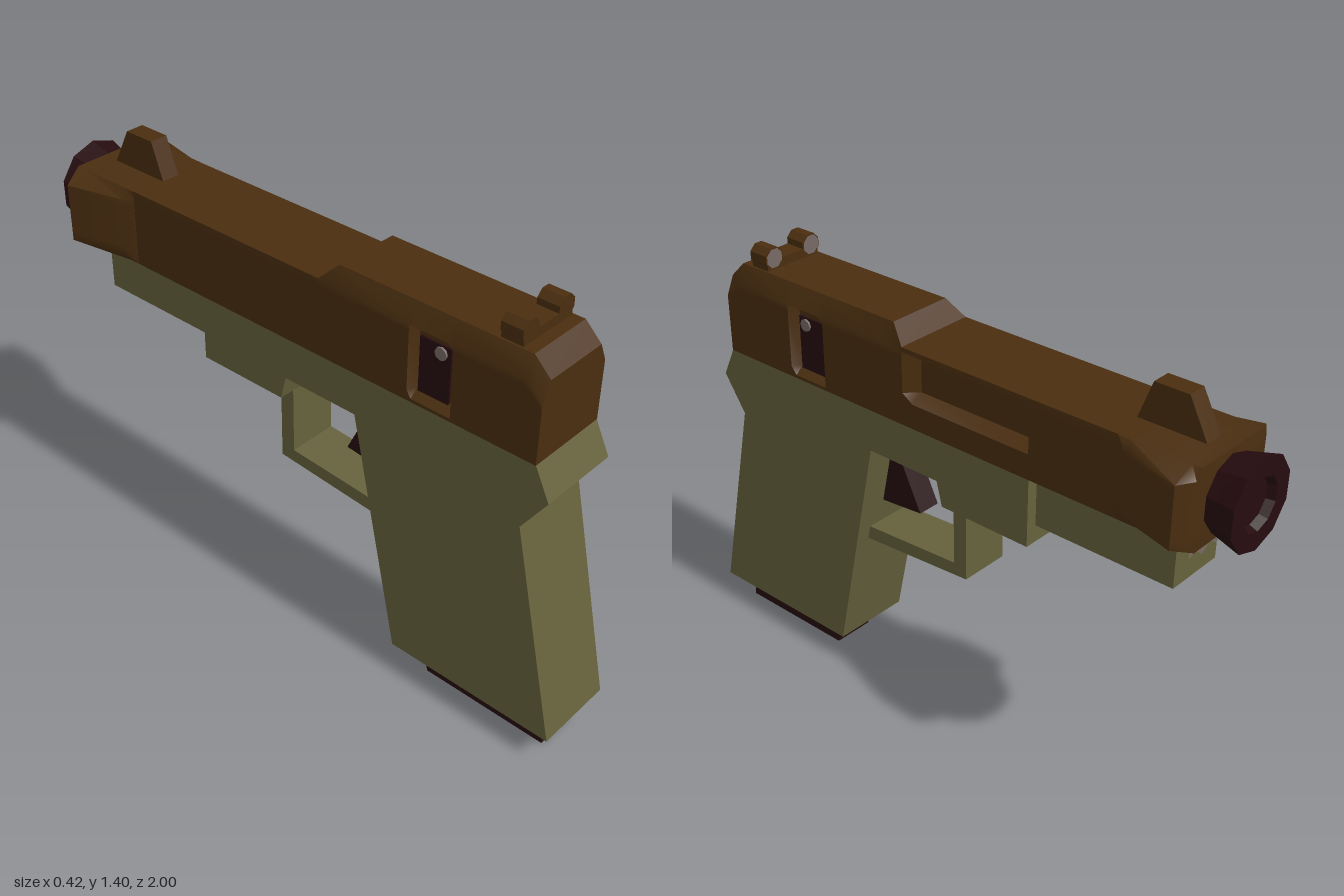
import * as THREE from 'three';
import { toCreasedNormals } from 'three/addons/utils/BufferGeometryUtils.js';

const material = (name, color, side = THREE.FrontSide) => {
  const m = new THREE.MeshStandardMaterial({ color, side });
  m.name = name;
  return m;
};

// Side outline of [z, y] points, extruded across x and centred on x = 0
function sideExtrude(points, halfWidth) {
  const shape = new THREE.Shape(points.map(([z, y]) => new THREE.Vector2(z, y)));
  const g = new THREE.ExtrudeGeometry(shape, { depth: 2 * halfWidth, bevelEnabled: false });
  g.rotateY(-Math.PI / 2).translate(halfWidth, 0, 0);
  return toCreasedNormals(g, 0.75);
}

// Half of a slide cross-section, from the bottom edge to the top edge
function halfSection(s, inset) {
  return [
    [0.138, 1.03], [s.w, s.lo], [s.w - inset, s.lo + 0.025],
    [s.w - inset, s.hi - 0.02], [s.w, s.hi], [s.wt, s.ht],
  ];
}

// Skin over cross-sections ordered from +z to -z, with closed ends
function loftSlide(sections) {
  const rings = sections.map((s) => {
    const right = halfSection(s, s.insetR || 0);
    const left = halfSection(s, s.insetL || 0).reverse().map(([x, y]) => [-x, y]);
    return [...right, ...left].map(([x, y]) => [x, y, s.z]);
  });
  const out = [];
  const n = rings[0].length;
  const first = rings[0], last = rings[rings.length - 1];
  for (let j = 0; j < n; j++) {
    const k = (j + 1) % n;
    for (let i = 0; i < rings.length - 1; i++) {
      const a = rings[i][j], b = rings[i][k], c = rings[i + 1][j], d = rings[i + 1][k];
      out.push(...a, ...c, ...b, ...b, ...c, ...d);
    }
    out.push(0, 1.14, first[0][2], ...first[j], ...first[k]);
    out.push(0, 1.14, last[0][2], ...last[k], ...last[j]);
  }
  const g = new THREE.BufferGeometry();
  g.setAttribute('position', new THREE.Float32BufferAttribute(out, 3));
  return toCreasedNormals(g, 0.7);
}

export function createModel() {
  const model = new THREE.Group();
  model.name = 'pistol';
  const bronze = material('bronze brown', 0x4a2e10);
  const olive = material('olive', 0x66623d);
  const dark = material('dark maroon', 0x260c0f);
  const grey = material('warm grey', 0x776a66, THREE.DoubleSide);

  const add = (name, geometry, mat, x = 0, y = 0, z = 0) => {
    const mesh = new THREE.Mesh(geometry, mat);
    mesh.name = name;
    mesh.position.set(x, y, z);
    model.add(mesh);
    return mesh;
  };

  // Slide: raised rear with side recesses, then the ejection cut on the +x side
  const rear = { w: 0.138, lo: 1.04, hi: 1.27, wt: 0.11, ht: 1.333 };
  const fore = { w: 0.138, lo: 1.11, hi: 1.265, wt: 0.137, ht: 1.28 };
  const pocket = { insetR: 0.03, insetL: 0.03 };
  add('slide', loftSlide([
    { ...rear, z: 0.865, hi: 1.22, ht: 1.28 },
    { ...rear, z: 0.81 },
    { ...rear, z: 0.585 },
    { ...rear, ...pocket, z: 0.565 },
    { ...rear, ...pocket, z: 0.45 },
    { ...rear, z: 0.435 },
    { ...rear, z: 0.165 },
    { ...fore, z: 0.11 },
    { ...fore, z: 0.07, insetR: 0.04 },
    { ...fore, z: -0.33, insetR: 0.04 },
    { ...fore, z: -0.36 },
    { ...fore, z: -0.65 },
  ]), bronze);

  // Flared block at the muzzle end
  const flare = { lo: 1.06, hi: 1.25, wt: 0.138, ht: 1.28 };
  add('muzzleBlock', loftSlide([
    { ...flare, z: -0.65, w: 0.139 },
    { ...flare, z: -0.685, w: 0.158 },
    { ...flare, z: -0.875, w: 0.21 },
    { ...flare, z: -0.905, w: 0.16 },
  ]), bronze);

  // Muzzle cone with a stepped bore
  const cone = new THREE.LatheGeometry([
    [0.105, 0.85], [0.112, 0.9], [0.138, 1.0], [0.08, 1.0], [0.07, 0.975], [0, 0.975],
  ].map(([r, y]) => new THREE.Vector2(r, y)), 10);
  cone.rotateX(-Math.PI / 2);
  add('muzzle', toCreasedNormals(cone, 0.5), dark, 0, 1.15, 0);

  // Frame and grip in one outline
  add('frameAndGrip', sideExtrude([
    [0.865, 1.03], [0.915, 0.93], [0.835, 0.81], [1.0, 0.1], [0.42, 0.1],
    [0.25, 0.89], [-0.02, 0.89], [-0.04, 0.81], [-0.363, 0.81], [-0.363, 1.03],
  ], 0.137), olive);
  add('accessoryRail', new THREE.BoxGeometry(0.2, 0.165, 0.48), olive, 0, 0.9475, -0.59);
  add('triggerGuard', sideExtrude([
    [-0.04, 0.82], [-0.04, 0.585], [0.33, 0.562], [0.34, 0.514], [-0.09, 0.545], [-0.09, 0.82],
  ], 0.085), olive);
  add('trigger', sideExtrude([[0.25, 0.89], [0.32, 0.648], [0.14, 0.665]], 0.04), dark);
  add('magazineBase', sideExtrude([
    [0.925, 0.1], [0.947, 0], [0.512, 0], [0.49, 0.1],
  ], 0.073), dark);

  // Front sight
  add('frontSight', sideExtrude([
    [-0.63, 1.275], [-0.675, 1.398], [-0.785, 1.398], [-0.85, 1.275],
  ], 0.031), bronze);

  // Rear sight: low bar with two rounded posts and pale forward faces
  add('rearSightBar', new THREE.BoxGeometry(0.15, 0.035, 0.07), bronze, 0, 1.345, 0.737);
  for (const side of [1, -1]) {
    const post = new THREE.CylinderGeometry(0.036, 0.036, 0.07, 8).rotateY(Math.PI / 8).rotateX(Math.PI / 2);
    add('rearSightPost', toCreasedNormals(post, 0.5), bronze, side * 0.076, 1.369, 0.737);
    const face = new THREE.CircleGeometry(0.032, 8).rotateZ(Math.PI / 8).rotateY(Math.PI);
    add('rearSightFace', face, grey, side * 0.076, 1.369, 0.7);
    add('rearSightFoot', new THREE.BoxGeometry(0.05, 0.04, 0.07), bronze, side * 0.079, 1.345, 0.737);

    // Dark inlay and pale stud inside each side recess
    add('recessInlay', new THREE.BoxGeometry(0.008, 0.18, 0.105), dark, side * 0.111, 1.145, 0.508);
    const stud = new THREE.CylinderGeometry(0.02, 0.02, 0.008, 8).rotateZ(Math.PI / 2);
    add('recessStud', stud, grey, side * 0.118, 1.212, 0.53);
  }

  // Thin plate hanging beneath the muzzle
  const plate = new THREE.Shape([
    [-0.09, 1.03], [-0.085, 0.985], [-0.045, 0.955], [-0.01, 0.975], [0.02, 0.95],
    [0.055, 0.975], [0.085, 0.965], [0.09, 1.03],
  ].map(([x, y]) => new THREE.Vector2(x, y)));
  add('muzzlePlate', new THREE.ShapeGeometry(plate), grey, 0, 0, -0.86);

  return model;
}
